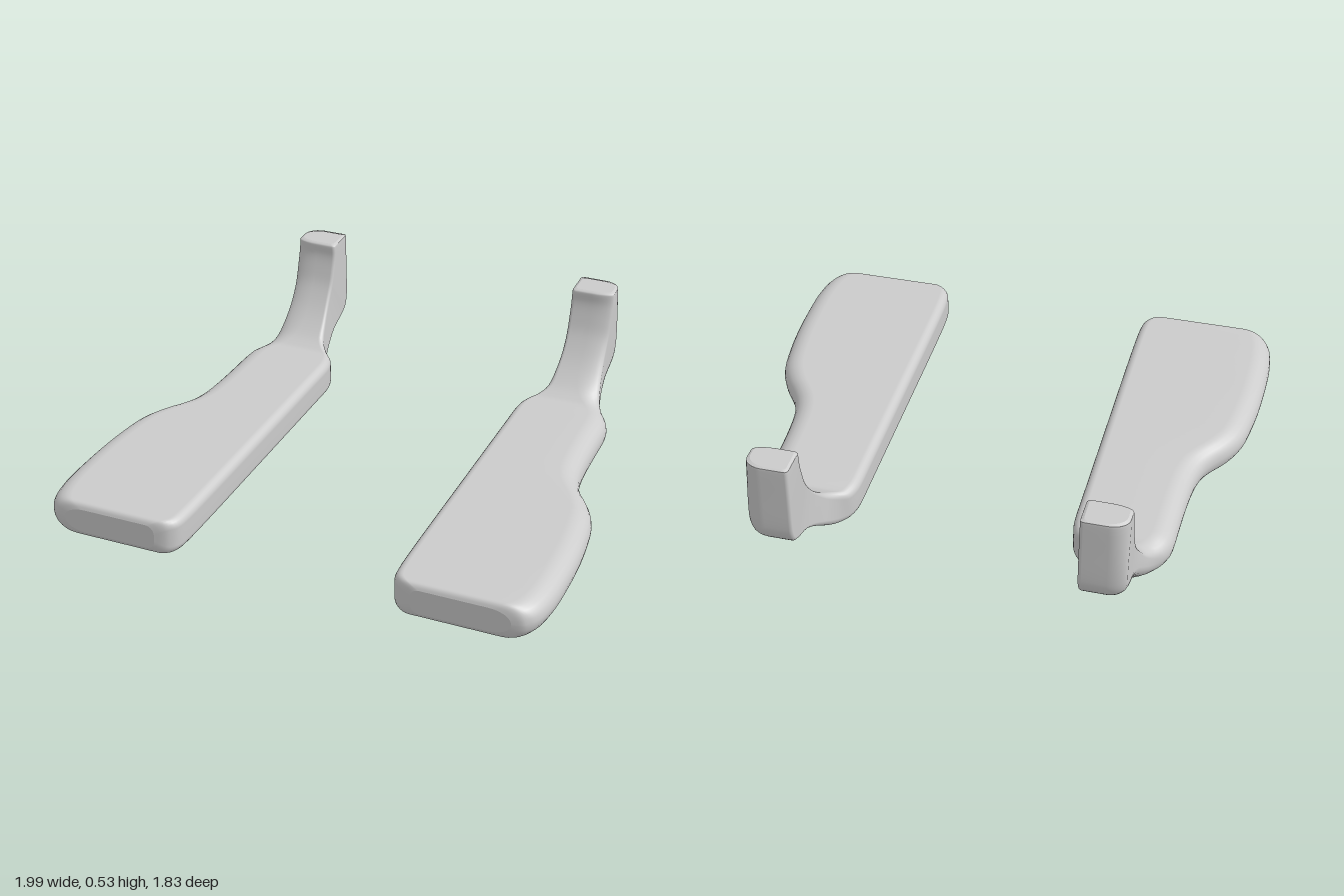
import * as THREE from 'three';

// Stations from front to back: [bottomZ, bottomY, topZ, topY, innerX, outerX]
const flat = (z, xi, xo, inset = 0) => [z, 0.005 + inset, z, 0.148 - inset, xi, xo];
const stations = [
  // rounded front edge
  flat(0.915, 0.51, 0.89, 0.022),
  flat(0.908, 0.48, 0.925, 0.008),
  flat(0.895, 0.455, 0.945),
  flat(0.865, 0.432, 0.967),
  flat(0.81, 0.424, 0.984),
  // plate, stepping in on its outer side
  flat(0.7, 0.421, 0.995),
  flat(0.5, 0.42, 0.993),
  flat(0.35, 0.42, 0.981),
  flat(0.22, 0.42, 0.96),
  flat(0.13, 0.42, 0.92),
  flat(0.06, 0.42, 0.872),
  flat(0, 0.42, 0.84),
  flat(-0.08, 0.42, 0.82),
  flat(-0.2, 0.42, 0.81),
  flat(-0.33, 0.42, 0.806),
  flat(-0.43, 0.42, 0.804),
  flat(-0.485, 0.425, 0.798),
  flat(-0.53, 0.441, 0.779),
  // neck bending upward
  [-0.58, 0.015, -0.56, 0.16, 0.475, 0.75],
  [-0.63, 0.045, -0.6, 0.185, 0.506, 0.726],
  [-0.7, 0.1, -0.65, 0.23, 0.52, 0.713],
  [-0.77, 0.143, -0.69, 0.275, 0.527, 0.707],
  [-0.84, 0.165, -0.725, 0.325, 0.53, 0.705],
  [-0.89, 0.19, -0.75, 0.37, 0.53, 0.705],
  [-0.91, 0.225, -0.768, 0.42, 0.53, 0.705],
  // upright stem and its rounded tip
  [-0.915, 0.28, -0.78, 0.46, 0.53, 0.705],
  [-0.915, 0.4, -0.785, 0.49, 0.53, 0.705],
  [-0.915, 0.521, -0.785, 0.521, 0.531, 0.704],
  [-0.912, 0.53, -0.788, 0.53, 0.534, 0.701],
  [-0.903, 0.535, -0.797, 0.535, 0.543, 0.692],
];

const ARC = 7; // points per rounded corner
const SUB = 3; // rings per station

// Rounded cross-section, counter-clockwise seen from the front
function section(b, t, side) {
  const xi = b.z, xo = t.z;
  const h = Math.hypot(t.x - b.x, t.y - b.y), w = xo - xi;
  const s = 1 - THREE.MathUtils.smoothstep((b.x + t.x) / 2, -0.72, -0.5);
  const mix = (p, q) => THREE.MathUtils.lerp(p, q, s);
  // corners: [isOuter, isTop, radius in x, radius in thickness]
  const corners = [
    [1, 0, mix(0.085, 0.07), mix(0.066, 0.055)],
    [1, 1, mix(0.085, 0.1), mix(0.066, 0.026)],
    [0, 1, mix(0.035, 0.014), mix(0.035, 0.014)],
    [0, 0, mix(0.035, 0.014), mix(0.035, 0.014)],
  ];
  const ring = [];
  corners.forEach(([outer, top, rx, ry], c) => {
    rx = Math.min(rx, w * 0.5);
    ry = Math.min(ry, h * 0.48);
    for (let i = 0; i < ARC; i++) {
      const a = (c - 1 + i / (ARC - 1)) * Math.PI / 2;
      const x = (outer ? xo - rx : xi + rx) + rx * Math.cos(a);
      const v = ((top ? h - ry : ry) + ry * Math.sin(a)) / h;
      ring.push(new THREE.Vector3(
        side * x,
        THREE.MathUtils.lerp(b.y, t.y, v),
        THREE.MathUtils.lerp(b.x, t.x, v)));
    }
  });
  return ring;
}

// Loft through all sections; side = 1 or -1 mirrors it
function pedalGeometry(side) {
  const spline = pts => new THREE.CatmullRomCurve3(pts, false, 'catmullrom', 0.5);
  const bottom = spline(stations.map(s => new THREE.Vector3(s[0], s[1], s[4])));
  const top = spline(stations.map(s => new THREE.Vector3(s[2], s[3], s[5])));
  const n = (stations.length - 1) * SUB;
  const rings = [];
  for (let j = 0; j <= n; j++) {
    rings.push(section(bottom.getPoint(j / n), top.getPoint(j / n), side));
  }
  const m = rings[0].length;
  const points = rings.flat();
  const index = [];
  const tri = (a, b, c) => (side > 0 ? index.push(a, b, c) : index.push(a, c, b));
  for (let j = 0; j < n; j++) {
    for (let k = 0; k < m; k++) {
      const k2 = (k + 1) % m, a = j * m, b = a + m;
      tri(a + k, b + k, a + k2);
      tri(a + k2, b + k, b + k2);
    }
  }
  // flat caps at the front edge and at the stem tip
  [[rings[0], 1], [rings[n], -1]].forEach(([ring, dir]) => {
    const start = points.length;
    const centre = new THREE.Vector3();
    ring.forEach(p => centre.addScaledVector(p, 1 / m));
    points.push(...ring, centre);
    for (let k = 0; k < m; k++) {
      const a = start + k, b = start + (k + 1) % m;
      if (dir > 0) tri(start + m, a, b);
      else tri(start + m, b, a);
    }
  });
  const geometry = new THREE.BufferGeometry().setFromPoints(points);
  geometry.setIndex(index);
  geometry.computeVertexNormals();
  return geometry;
}

export function createModel() {
  const model = new THREE.Group();
  model.name = 'pedalPair';
  const material = new THREE.MeshStandardMaterial({ color: 0xcccccc });
  for (const [name, side] of [['leftPedal', 1], ['rightPedal', -1]]) {
    const mesh = new THREE.Mesh(pedalGeometry(side), material);
    mesh.name = name;
    model.add(mesh);
  }
  return model;
}
